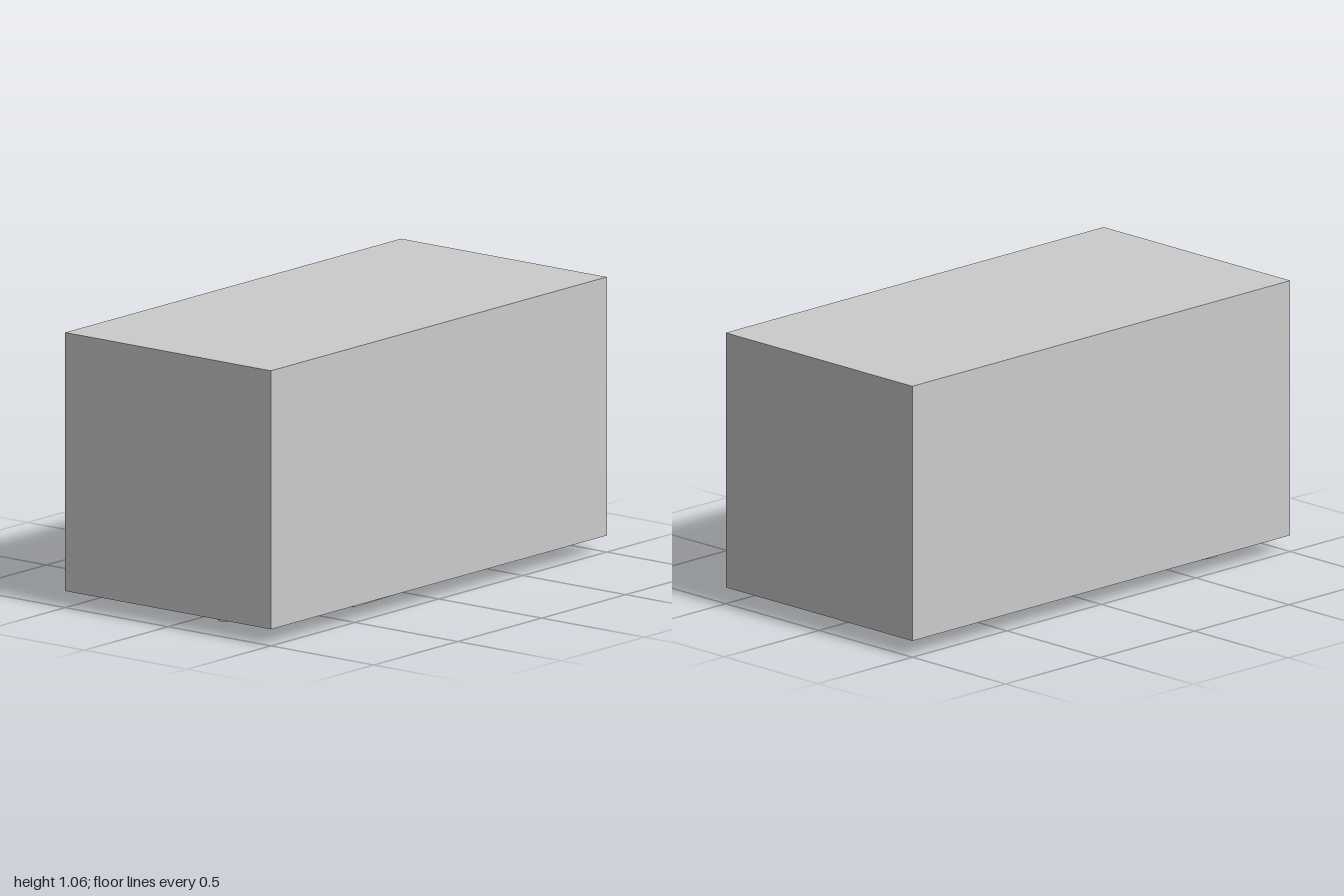
import * as THREE from 'three';

const FLOOR = 0.064; // underside of the block
const RIM = 0.043;   // lower edge of the raised outlines

// Open polygonal wall hanging from the underside; a third value in a corner lowers its rim
function outline(corners, material) {
  const positions = [];
  corners.forEach(([x, z, y = RIM], i) => {
    const [x2, z2, y2 = RIM] = corners[(i + 1) % corners.length];
    positions.push(x, FLOOR, z, x, y, z, x2, y2, z2);
    positions.push(x, FLOOR, z, x2, y2, z2, x2, FLOOR, z2);
  });
  const geometry = new THREE.BufferGeometry();
  geometry.setAttribute('position', new THREE.Float32BufferAttribute(positions, 3));
  geometry.computeVertexNormals();
  return new THREE.Mesh(geometry, material);
}

export function createModel() {
  const model = new THREE.Group();
  const grey = new THREE.MeshStandardMaterial({ color: 0xcccccc, flatShading: true });
  const thin = new THREE.MeshStandardMaterial({
    color: 0xcccccc, flatShading: true, side: THREE.DoubleSide,
  });

  // Main block
  const block = new THREE.Mesh(new THREE.BoxGeometry(2, 1, 1), grey);
  block.position.y = FLOOR + 0.5;
  block.name = 'block';
  model.add(block);

  // Five irregular pentagons on the underside, as [x, z, rim height]
  const pentagons = {
    largeLeftOutline: [[0.87, 0.13], [0.68, -0.34], [0.32, -0.33], [0.29, 0.14], [0.55, 0.37]],
    backMiddleOutline: [[0.36, -0.16], [0.35, -0.39], [0.05, -0.44], [-0.1, -0.25], [0.065, -0.045]],
    frontMiddleOutline: [[0.3, 0.22], [0.1, -0.01], [-0.39, 0.05], [-0.31, 0.34, 0], [0.1, 0.43]],
    backRightOutline: [[-0.12, -0.38], [-0.65, -0.46], [-0.89, -0.25], [-0.62, -0.01], [-0.19, -0.1, 0]],
    frontRightOutline: [[-0.53, 0.36], [-0.54, 0.1], [-0.81, 0.015], [-0.95, 0.21], [-0.79, 0.44]],
  };
  for (const [name, corners] of Object.entries(pentagons)) {
    const mesh = outline(corners, thin);
    mesh.name = name;
    model.add(mesh);
  }
  return model;
}
